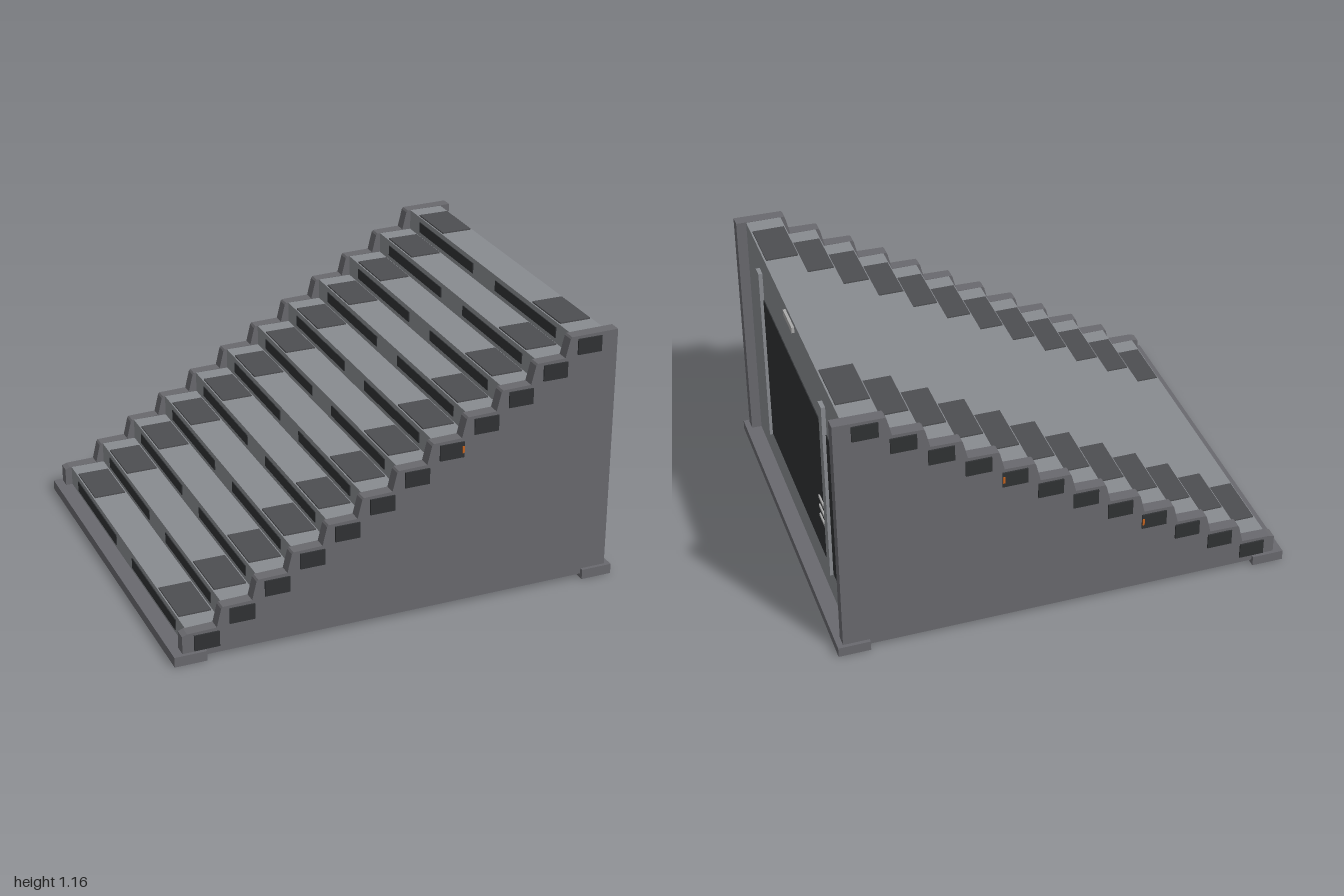
import * as THREE from 'three';

const STEPS = 12, RUN = 0.1545, RISE = 0.0925;

const mat = (color) => new THREE.MeshStandardMaterial({ color });
const wallMat = mat(0x69696e), treadMat = mat(0x888b90), padMat = mat(0x4d4e51);
const darkMat = mat(0x303234), paleMat = mat(0xaaaaaa), floorMat = mat(0x5c5d61), lampMat = mat(0xc8641e);

export function createModel() {
  const model = new THREE.Group();

  // box given by its extents along each axis
  const box = (name, material, [x0, x1], [y0, y1], [z0, z1]) => {
    const mesh = new THREE.Mesh(new THREE.BoxGeometry(x1 - x0, y1 - y0, z1 - z0), material);
    mesh.position.set((x0 + x1) / 2, (y0 + y1) / 2, (z0 + z1) / 2);
    mesh.name = name;
    model.add(mesh);
  };
  // z range mirrored to the chosen side
  const sided = (s, a, b) => (s > 0 ? [a, b] : [-b, -a]);
  // outline in x/y extruded along z
  const slab = (name, material, points, z0, z1) => {
    const shape = new THREE.Shape(points.map(([x, y]) => new THREE.Vector2(x, y)));
    const geo = new THREE.ExtrudeGeometry(shape, { depth: z1 - z0, bevelEnabled: false });
    const mesh = new THREE.Mesh(geo, material);
    mesh.position.z = z0;
    mesh.name = name;
    model.add(mesh);
  };

  // outlines of the treads and of the side walls with leaning risers
  const stairs = [[0.93, 0.025], [-0.93, 0.025]];
  const wall = [[0.975, 0.02], [-0.96, 0.02]];
  for (let i = 0; i < STEPS; i++) {
    const x = -0.93 + i * 0.155, y = 0.132 + i * RISE;
    const last = i === STEPS - 1;
    stairs.push([x, y], [last ? 0.93 : x + 0.155, y]);
    const wx = -0.96 + i * RUN;
    wall.push([wx + (i ? 0.015 : 0), y - 0.008], [wx + 0.022, y]);
    wall.push([last ? 0.975 : wx + RUN - 0.005, y + 0.003]);
  }
  slab('stairBody', treadMat, stairs, -0.78, 0.78);
  for (const s of [1, -1]) slab('sideWall', wallMat, wall, ...sided(s, 0.78, 0.832));

  // details repeated on each step
  for (let i = 0; i < STEPS; i++) {
    const x = -0.93 + i * 0.155, y = 0.132 + i * RISE;
    const px = -0.91 + i * RUN, py = 0.05 + i * RISE;
    for (const s of [1, -1]) {
      box('treadPad', padMat, [x + 0.006, x + 0.147], [y - 0.01, y + 0.006], sided(s, 0.44, 0.69));
      box('riserSlot', darkMat, [x - 0.004, x + 0.01], [y - 0.07, y - 0.022], sided(s, 0.11, 0.67));
      box('sidePad', darkMat, [px, px + 0.11], [py, py + 0.07], sided(s, 0.825, 0.839));
      if (i === 7 || (i === 3 && s < 0))
        box('markerLamp', lampMat, [px + 0.1, px + 0.109], [py + 0.02, py + 0.052], sided(s, 0.83, 0.841));
    }
  }

  // floor and end beams with short corner returns
  box('floor', floorMat, [-0.95, 0.95], [0.015, 0.03], [-0.8, 0.8]);
  for (const e of [1, -1]) {
    box('endBeam', wallMat, sided(e, 0.925, 1), [0, 0.045], [-0.848, 0.848]);
    for (const s of [1, -1]) box('cornerFoot', wallMat, sided(e, 0.86, 0.93), [0, 0.045], sided(s, 0.785, 0.848));
  }

  // high end: door, rails, vents and handle
  box('door', darkMat, [0.92, 0.934], [0.195, 0.915], [-0.61, 0.61]);
  for (const s of [1, -1]) box('doorRail', treadMat, [0.925, 0.948], [0.19, 1.05], sided(s, 0.503, 0.553));
  for (const y of [0.39, 0.438, 0.486]) box('ventBar', paleMat, [0.925, 0.941], [y - 0.006, y + 0.006], [-0.55, -0.385]);
  box('handle', paleMat, [0.925, 0.942], [1.103, 1.13], [-0.072, 0.075]);

  return model;
}
